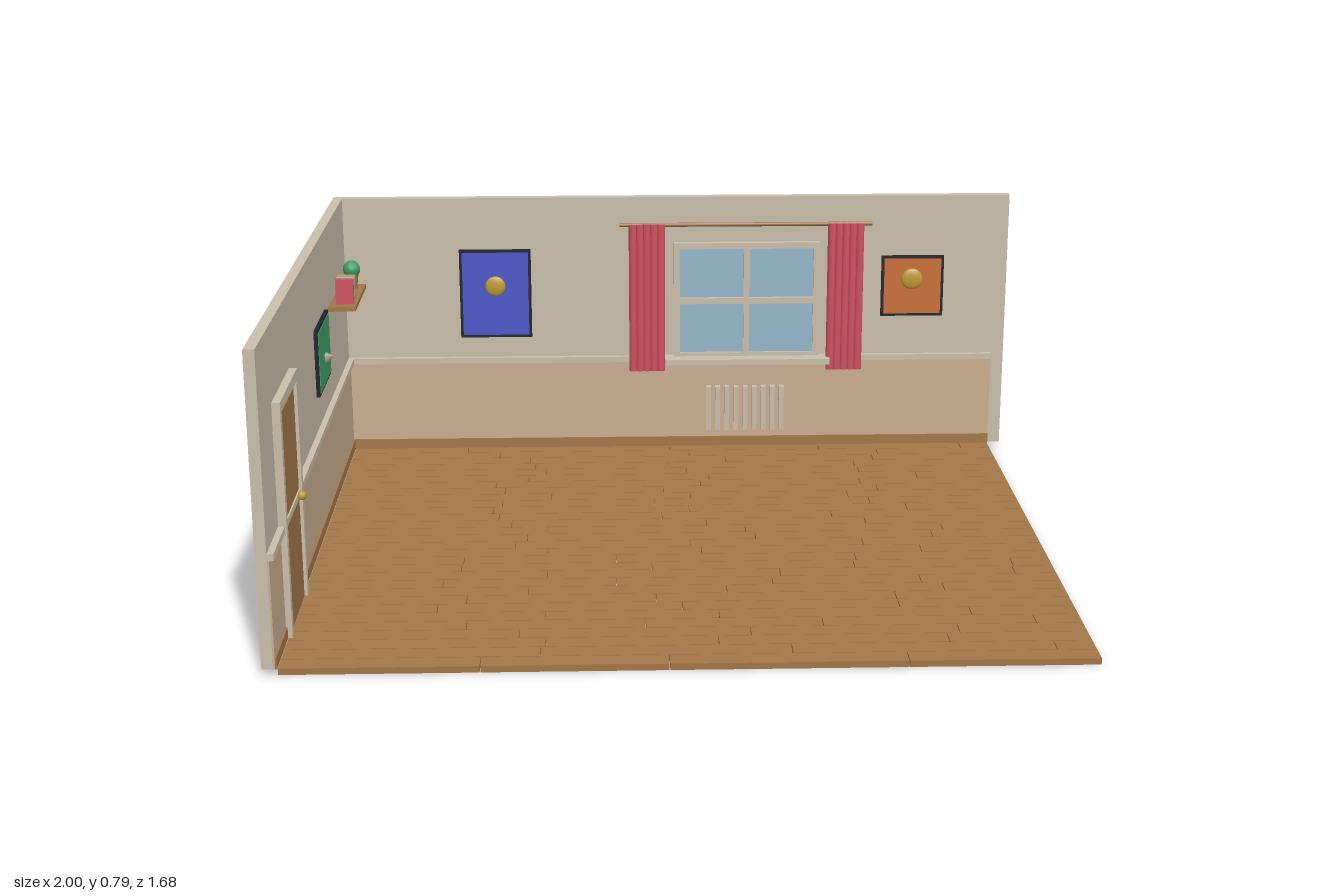
import * as THREE from 'three';
import { mergeVertices } from 'three/addons/utils/BufferGeometryUtils.js';

const mat = (name, color) => new THREE.MeshStandardMaterial({ name, color });

export function createModel() {
  const M = {
    wall: mat('wallCream', 0xcabeaa), panel: mat('panelTan', 0xcaae90),
    wood: mat('wood', 0xa37648), black: mat('frameBlack', 0x22242c),
    blue: mat('blue', 0x4a58c8), orange: mat('orange', 0xc87038),
    green: mat('green', 0x3f9b66), gold: mat('gold', 0xc09a35),
    glass: mat('glassBlue', 0x94b5c9), red: mat('curtainRed', 0xd0505f),
  };
  const room = new THREE.Group();
  room.name = 'room';

  const add = (name, geo, material, x = 0, y = 0, z = 0, parent = room) => {
    const mesh = new THREE.Mesh(geo, material);
    mesh.name = name;
    mesh.position.set(x, y, z);
    parent.add(mesh);
    return mesh;
  };
  // Box given by its extents on each axis
  const box = (name, material, x0, x1, y0, y1, z0, z1, parent) =>
    add(name, new THREE.BoxGeometry(x1 - x0, y1 - y0, z1 - z0), material,
      (x0 + x1) / 2, (y0 + y1) / 2, (z0 + z1) / 2, parent);
  const group = (name) => {
    const g = new THREE.Group();
    g.name = name;
    room.add(g);
    return g;
  };

  const BACK = -0.813, SIDE = -0.973, BASE = 0.016;

  // Floor: rows of planks with thin gaps and staggered joints
  const floor = group('floorPlanks');
  let seed = 7;
  const rand = () => (seed = (seed * 16807) % 2147483647) / 2147483647;
  const rows = 30, pitch = 1.652 / rows, gap = 0.002;
  for (let i = 0; i < rows; i++) {
    const z = -0.812 + i * pitch;
    let x = -0.963, end = -0.62 + rand() * 0.3;
    while (x < 0.963) {
      if (end > 0.88) end = 0.963;
      box('plank', M.wood, x, end - gap, 0, BASE, z, z + pitch - gap, floor);
      x = end;
      end += 0.38 + rand() * 0.25;
    }
  }

  // Walls
  box('backWall', M.wall, -1, 1, BASE, 0.785, -0.842, BACK);
  box('leftWall', M.wall, -1, SIDE, BASE, 0.785, BACK, 0.842);

  // Lower panelling, skirting and chair rail on both walls
  const trims = [
    ['wainscot', M.panel, BASE, 0.29, 0.005],
    ['skirting', M.wood, BASE, 0.045, 0.009],
    ['chairRail', M.wall, 0.284, 0.301, 0.016],
  ];
  for (const [name, m, y0, y1, d] of trims) {
    box(name + 'Back', m, SIDE, 0.963, y0, y1, BACK, BACK + d);
    box(name + 'Side', m, SIDE, SIDE + d, y0, y1, BACK, 0.842);
  }

  // Window with four panes, bars and a sill
  const win = group('window');
  box('windowBacking', M.wall, 0.003, 0.437, 0.295, 0.646, BACK, -0.806, win);
  for (const x of [0.021, 0.229])
    for (const y of [0.313, 0.482])
      box('pane', M.glass, x, x + 0.19, y, y + 0.15, -0.806, -0.802, win);
  for (const x of [0.003, 0.211, 0.419])
    box('uprightBar', M.wall, x, x + 0.018, 0.295, 0.646, BACK, -0.792, win);
  for (const y of [0.295, 0.463, 0.631])
    box('crossBar', M.wall, 0.003, 0.437, y, y + 0.018, BACK, -0.793, win);
  box('sill', M.wall, -0.024, 0.468, 0.285, 0.302, BACK, -0.75, win);

  // Curtains: pleats shaded softly from top to bottom, hung on a rod
  const curtains = group('curtains');
  let pleat = new THREE.CylinderGeometry(0.0125, 0.0125, 0.446, 10);
  pleat.deleteAttribute('normal');
  pleat.deleteAttribute('uv');
  pleat = mergeVertices(pleat);
  pleat.computeVertexNormals();
  for (const x0 of [-0.119, 0.471])
    for (let i = 0; i < 5; i++)
      add('pleat', pleat, M.red, x0 + i * 0.0207, 0.486, -0.78, curtains);
  add('curtainRod', new THREE.CylinderGeometry(0.006, 0.006, 0.748, 10), M.wood,
    0.216, 0.707, -0.786, curtains).rotation.z = Math.PI / 2;

  // Radiator bars under the window
  const radiator = group('radiator');
  for (let i = 0; i < 9; i++) {
    const x = 0.1 + i * 0.0275;
    box('radiatorBar', M.wall, x, x + 0.015, 0.07, 0.206, BACK, -0.787, radiator);
  }

  // Pictures, built facing +z: black frame with a canvas plate
  const picture = (name, m, w, h, x, y, z) => {
    const g = group(name);
    g.position.set(x, y, z);
    box('frame', M.black, -w / 2, w / 2, -h / 2, h / 2, 0, 0.01, g);
    const a = w / 2 - 0.008, b = h / 2 - 0.008;
    box('canvas', m, -a, a, -b, b, 0.01, 0.012, g);
    return g;
  };
  const disc = (g, r, x, y) =>
    add('goldDisc', new THREE.SphereGeometry(r, 16, 12), M.gold, x, y, 0.012, g).scale.z = 0.3;
  disc(picture('bluePicture', M.blue, 0.212, 0.267, -0.528, 0.497, BACK), 0.03, 0, 0.024);
  disc(picture('orangePicture', M.orange, 0.186, 0.184, 0.717, 0.512, BACK), 0.032, -0.002, 0.022);
  const greenPicture = picture('greenPicture', M.green, 0.236, 0.182, -0.208, 0.487, SIDE);
  greenPicture.rotation.y = Math.PI / 2;
  greenPicture.position.set(SIDE, 0.485, -0.208);
  add('pictureCone', new THREE.ConeGeometry(0.019, 0.024, 3), M.wall,
    0.003, -0.012, 0.024, greenPicture).rotation.x = Math.PI / 2;

  // Door with surround and knob
  const door = group('door');
  box('doorLeaf', M.wood, SIDE, -0.961, BASE, 0.575, 0.385, 0.638, door);
  for (const z of [0.362, 0.635])
    box('doorJamb', M.wall, SIDE, -0.953, BASE, 0.605, z, z + 0.022, door);
  box('doorHead', M.wall, SIDE, -0.953, 0.577, 0.605, 0.362, 0.657, door);
  add('doorKnob', new THREE.SphereGeometry(0.012, 12, 8), M.gold, -0.95, 0.293, 0.414, door);
  box('lightSwitch', M.wall, SIDE, -0.965, 0.307, 0.339, 0.324, 0.346);

  // Shelf with books and a potted plant
  const shelf = group('shelf');
  box('shelfBoard', M.wood, SIDE, -0.897, 0.55, 0.562, -0.676, -0.4, shelf);
  [M.red, M.glass, M.gold].forEach((m, i) => {
    const z = -0.444 - i * 0.0245;
    box('book', m, -0.955, -0.905, 0.562, 0.632, z - 0.0085, z + 0.0085, shelf);
  });
  add('plantPot', new THREE.CylinderGeometry(0.019, 0.014, 0.04, 12), M.wood, -0.93, 0.582, -0.622, shelf);
  add('plantBall', new THREE.SphereGeometry(0.025, 12, 8), M.green, -0.93, 0.619, -0.622, shelf);

  return room;
}
